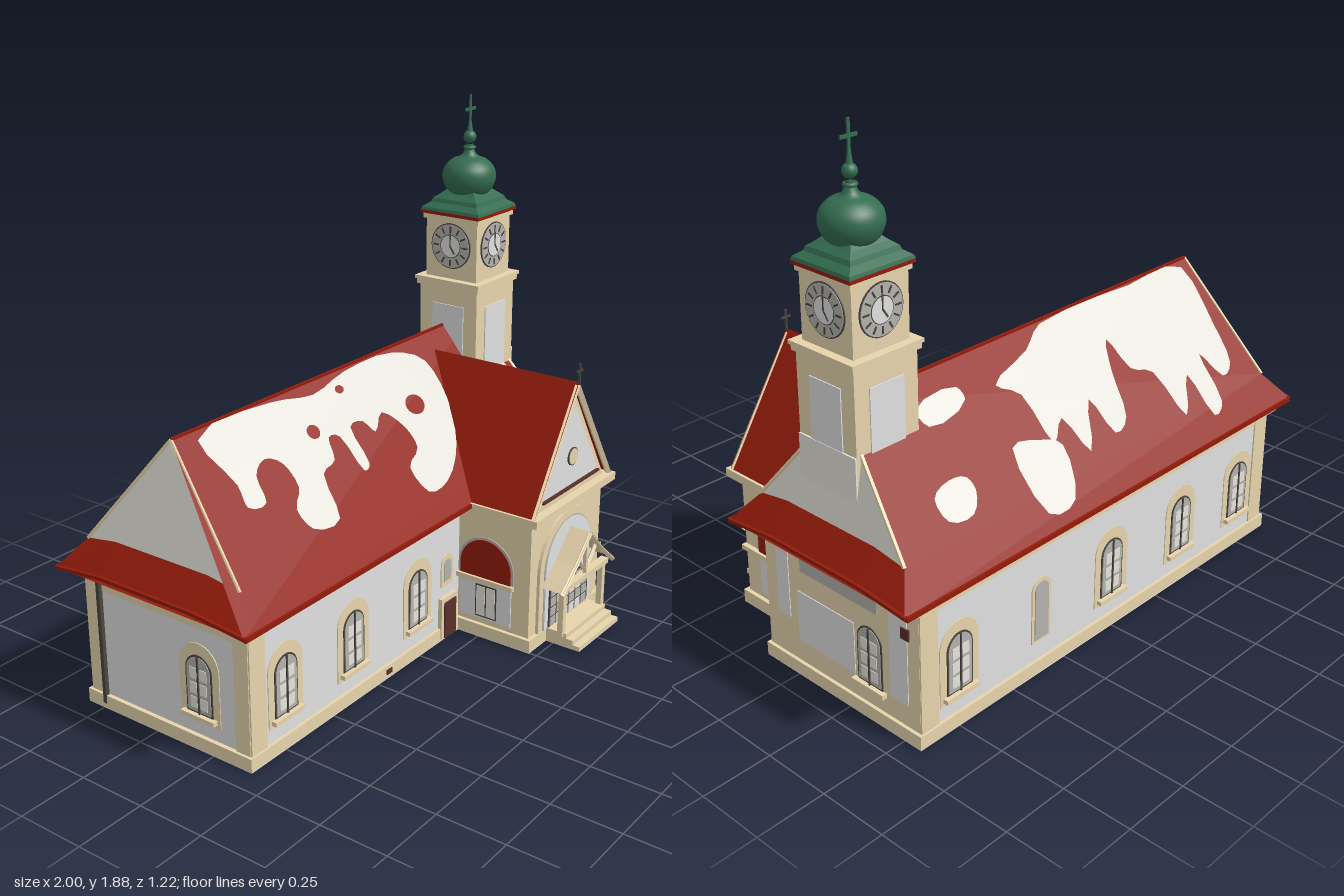
import * as THREE from 'three';

const mat = (name, color, double) => {
  const m = new THREE.MeshStandardMaterial({ color });
  m.name = name;
  if (double) m.side = THREE.DoubleSide;
  return m;
};
const M = {
  plaster: mat('greyWhitePlaster', 0xe0e0e0),
  cream: mat('creamStone', 0xf3dfb6, true),
  red: mat('redRoof', 0x931b0a, true),
  snow: mat('snowWhite', 0xe6e4dc, true),
  green: mat('copperGreen', 0x346d50),
  dark: mat('darkFrame', 0x4a463f),
  brown: mat('brownDoor', 0x5a302b),
  grey: mat('greyStone', 0xb4b2ae),
};

function add(parent, name, geo, material, x = 0, y = 0, z = 0) {
  const m = new THREE.Mesh(geo, material);
  m.name = name;
  m.position.set(x, y, z);
  parent.add(m);
  return m;
}
// Box given by its min and max corners
const box = (p, name, m, x0, x1, y0, y1, z0, z1) =>
  add(p, name, new THREE.BoxGeometry(x1 - x0, y1 - y0, z1 - z0), m, (x0 + x1) / 2, (y0 + y1) / 2, (z0 + z1) / 2);

// Flat convex polygon as a triangle fan
function poly(p, name, m, pts) {
  const pos = [];
  for (let i = 1; i < pts.length - 1; i++) pos.push(...pts[0], ...pts[i], ...pts[i + 1]);
  const g = new THREE.BufferGeometry();
  g.setAttribute('position', new THREE.Float32BufferAttribute(pos, 3));
  g.computeVertexNormals();
  return add(p, name, g, m);
}
// Thin square bar between two points
function bar(p, name, m, a, b, w) {
  const A = new THREE.Vector3(...a), d = new THREE.Vector3(...b).sub(A);
  const o = add(p, name, new THREE.BoxGeometry(w, w, d.length()), m);
  o.position.copy(A).addScaledVector(d, 0.5);
  o.quaternion.setFromUnitVectors(new THREE.Vector3(0, 0, 1), d.normalize());
}
const extrude = (s, depth) => new THREE.ExtrudeGeometry(s, { depth, bevelEnabled: false, curveSegments: 10 });

// Round-topped outline centred on u, from v0 to v1
function arch(u, w, v0, v1) {
  const s = new THREE.Shape(), r = w / 2;
  s.moveTo(u - r, v0);
  s.lineTo(u + r, v0);
  s.absarc(u, v1 - r, r, 0, Math.PI);
  s.closePath();
  return s;
}
// Wall frame: local x along the wall, local z outwards
function wall(p, name, x, z, turn) {
  const g = new THREE.Group();
  g.name = name;
  g.position.set(x, 0, z);
  g.rotation.y = turn;
  p.add(g);
  return g;
}
const plate = (w, name, m, u0, u1, v0, v1, d = 0.004) => box(w, name, m, u0, u1, v0, v1, 0, d);

function archWindow(w, u, v0 = 0.13) {
  add(w, 'windowSurround', extrude(arch(u, 0.17, v0 - 0.03, v0 + 0.255), 0.003), M.cream);
  add(w, 'windowFrame', extrude(arch(u, 0.112, v0, v0 + 0.213), 0.006), M.dark);
  add(w, 'windowReveal', extrude(arch(u, 0.1, v0 + 0.006, v0 + 0.207), 0.008), M.grey);
  for (const s of [-1, 1]) for (let r = 0; r < 3; r++)
    plate(w, 'pane', M.snow, u + s * 0.021 - 0.015, u + s * 0.021 + 0.015, v0 + 0.02 + r * 0.053, v0 + 0.06 + r * 0.053, 0.01);
  plate(w, 'mullion', M.dark, u - 0.003, u + 0.003, v0, v0 + 0.21, 0.012);
  box(w, 'sill', M.cream, u - 0.072, u + 0.072, v0 - 0.016, v0, 0, 0.022);
}

const RZ = -0.19, RY = 1.03, SLOPE = 1.22;

// Snow lying on the main roof: points are (x, height), side is +1 front, -1 back
function snowPatch(p, pts, side, holes = []) {
  const curve = new THREE.CatmullRomCurve3(pts.map(([x, y]) => new THREE.Vector3(x, y, 0)), true);
  const s = new THREE.Shape(curve.getPoints(pts.length * 3).slice(0, -1).map(v => new THREE.Vector2(v.x, Math.min(v.y, 1.025))));
  for (const [x, y, rx, ry] of holes) s.holes.push(new THREE.Path().absellipse(x, y, rx, ry, 0, Math.PI * 2, true));
  const g = new THREE.ShapeGeometry(s, 8), a = g.attributes.position;
  for (let i = 0; i < a.count; i++) {
    const y = a.getY(i);
    a.setXYZ(i, a.getX(i), y + 0.003, RZ + side * ((RY - y) / SLOPE + 0.004));
  }
  g.computeVertexNormals();
  add(p, 'roofSnow', g, M.snow);
}

function buildNave(p) {
  box(p, 'naveWalls', M.plaster, -0.905, 0.905, 0.01, 0.53, -0.56, 0.15);
  box(p, 'navePlinth', M.cream, -0.92, 0.92, 0.003, 0.05, -0.572, 0.162);
  box(p, 'naveUnderside', M.plaster, -0.92, 0.92, 0, 0.003, -0.572, 0.162);
  box(p, 'naveCornice', M.cream, -0.935, 0.935, 0.495, 0.529, -0.585, 0.178);
  const front = wall(p, 'frontWall', 0, 0.15, 0), back = wall(p, 'backWall', 0, -0.56, Math.PI);
  const right = wall(p, 'leftHandEnd', 0.905, 0, Math.PI / 2), left = wall(p, 'rightHandEnd', -0.905, 0, -Math.PI / 2);
  for (const w of [front, back]) {
    plate(w, 'friezeBand', M.cream, -0.905, 0.905, 0.465, 0.5);
    for (const s of [-1, 1]) plate(w, 'cornerStrip', M.cream, s * 0.87 - 0.037, s * 0.87 + 0.037, 0.05, 0.5, 0.005);
  }
  [-0.735, -0.38, -0.005].forEach(u => archWindow(front, u));
  [-0.74, 0, 0.39, 0.74].forEach(u => archWindow(back, u));
  add(back, 'nicheSurround', extrude(arch(-0.36, 0.09, 0.12, 0.36), 0.004), M.cream);
  add(back, 'niche', extrude(arch(-0.36, 0.065, 0.13, 0.345), 0.007), M.grey);
  // Small side door with a niche over it
  plate(front, 'sideDoorFrame', M.cream, 0.13, 0.23, 0.01, 0.17, 0.016);
  plate(front, 'sideDoor', M.brown, 0.145, 0.215, 0.01, 0.152, 0.022);
  add(front, 'smallNiche', extrude(arch(0.18, 0.075, 0.21, 0.335), 0.004), M.cream);
  add(front, 'smallNicheBack', extrude(arch(0.18, 0.045, 0.23, 0.315), 0.006), M.grey);
  plate(front, 'plinthStain', M.brown, -0.205, -0.175, 0.018, 0.036, 0.016);
  // Tower end: stone facing with rendered panels
  plate(right, 'stoneFacing', M.cream, -0.15, 0.56, 0.05, 0.5, 0.003);
  for (const [a, b, c, d] of [[0, 0.27, 0.13, 0.32], [-0.1, -0.04, 0.2, 0.47], [0.43, 0.51, 0.13, 0.47]])
    plate(right, 'renderPanel', M.plaster, a, b, c, d, 0.006);
  plate(right, 'greyPanel', M.grey, 0.02, 0.38, 0.4, 0.46, 0.006);
  plate(right, 'wallStain', M.brown, 0.485, 0.52, 0.37, 0.41, 0.009);
  archWindow(right, 0.34, 0.125);
  plate(left, 'friezeBand', M.cream, -0.56, 0.15, 0.44, 0.5);
  for (const u of [-0.53, 0.12]) plate(left, 'cornerStrip', M.cream, u - 0.03, u + 0.03, 0.05, 0.5, 0.005);
  archWindow(left, -0.06);
  box(p, 'downpipe', M.dark, -0.922, -0.907, 0.02, 0.5, -0.5, -0.485);
}

function buildMainRoof(p) {
  const E = 0.53, K = 0.63, ez = 0.41, kz = 0.328, T = 0.85;
  for (const s of [-1, 1]) {
    const zE = RZ + s * ez, zK = RZ + s * kz;
    const pts = [[-1, E, zE], [1, E, zE], [0.92, K, zK], [T, RY, RZ], [-T, RY, RZ], [-0.92, K, zK]];
    poly(p, 'roofSlope', M.red, s > 0 ? pts : pts.reverse());
    box(p, 'eaveBoard', M.red, -0.995, 0.995, E - 0.012, E + 0.004, zE - 0.006, zE + 0.006);
    // Steep gable and flared skirt at each end, s now picks the end
    const x = s * 0.92, X = s * 0.995;
    const gable = [[x, K, RZ + kz], [x, K, RZ - kz], [s * T, RY, RZ]];
    poly(p, 'endGable', M.snow, s > 0 ? gable : gable.reverse());
    const out = [[X, E, RZ + ez], [X, 0.55, RZ + 0.2], [X, 0.55, RZ - 0.2], [X, E, RZ - ez]];
    const inn = [[x, K, RZ + kz], [x, K + 0.02, RZ + 0.2], [x, K + 0.02, RZ - 0.2], [x, K, RZ - kz]];
    for (let i = 0; i < 3; i++) {
      const q = [out[i], out[i + 1], inn[i + 1], inn[i]];
      poly(p, 'endSkirt', M.red, s > 0 ? q : q.reverse());
      bar(p, 'skirtEdge', M.red, out[i], out[i + 1], 0.012);
    }
    for (const t of [-1, 1]) bar(p, 'gableRake', M.cream, [x, K, RZ + t * kz], [s * T, RY - 0.004, RZ], 0.01);
  }
  poly(p, 'soffit', M.red, [[-0.99, E - 0.005, RZ - ez], [0.99, E - 0.005, RZ - ez], [0.99, E - 0.005, RZ + ez], [-0.99, E - 0.005, RZ + ez]]);
  bar(p, 'ridge', M.red, [-T, RY - 0.003, RZ], [T, RY - 0.003, RZ], 0.01);

  snowPatch(p, [[-.76, 1], [-.71, .86], [-.72, .8], [-.64, .79], [-.62, .86], [-.55, .89], [-.49, .86], [-.48, .79],
    [-.54, .74], [-.52, .68], [-.39, .67], [-.35, .79], [-.27, .81], [-.24, .87], [-.19, .86], [-.17, .75], [-.13, .76],
    [-.12, .87], [-.05, .87], [-.02, .83], [.06, .87], [.13, .8], [.13, .74], [.04, .7], [.06, .62], [.18, .62],
    [.33, .7], [.42, .83], [.42, .95], [.28, 1.01], [0, 1.015], [-.2, .99], [-.39, 1.015]], 1,
  [[-0.07, 0.975, 0.022, 0.012], [0.24, 0.85, 0.05, 0.03], [-0.29, 0.9, 0.03, 0.02]]);
  snowPatch(p, [[.66, .87], [.82, .87], [.84, .82], [.79, .78], [.84, .73], [.89, .68], [.89, .61], [.8, .585], [.79, .66], [.72, .7], [.66, .78]], 1);
  const onBack = pts => snowPatch(p, pts.map(([x, z]) => [x, RY - (RZ - z) * SLOPE]), -1);
  onBack([[-.8, -.21], [-.81, -.36], [-.79, -.46], [-.72, -.48], [-.66, -.41], [-.65, -.53], [-.58, -.55], [-.55, -.44],
    [-.45, -.52], [-.4, -.4], [-.31, -.37], [-.27, -.29], [-.22, -.36], [-.18, -.46], [-.1, -.48], [-.06, -.39],
    [.04, -.49], [.09, -.4], [.17, -.44], [.2, -.32], [.28, -.28], [.09, -.24], [-.02, -.2], [-.5, -.2]]);
  onBack([[.14, -.45], [.2, -.56], [.33, -.56], [.34, -.41], [.22, -.42]]);
  onBack([[.55, -.45], [.6, -.49], [.7, -.48], [.71, -.43], [.63, -.41], [.56, -.42]]);
  onBack([[.42, -.28], [.6, -.3], [.62, -.26], [.43, -.25]]);
}

function buildTower(p) {
  const g = new THREE.Group();
  g.name = 'tower';
  g.position.set(0.765, 0, -0.168);
  p.add(g);
  const block = (name, m, h, y0, y1) => box(g, name, m, -h, h, y0, y1, -h, h);
  block('lowerShaft', M.cream, 0.128, 0.72, 1.19);
  block('lowerCornice', M.cream, 0.138, 1.175, 1.195);
  block('lowerCorniceTop', M.cream, 0.144, 1.195, 1.208);
  block('upperShaft', M.cream, 0.113, 1.2, 1.45);
  block('upperCornice', M.cream, 0.122, 1.43, 1.45);
  block('redEave', M.red, 0.13, 1.45, 1.462);
  box(g, 'gableSnowOnShaft', M.snow, 0.128, 0.134, 0.72, 0.9, -0.128, 0.128);
  for (let i = 0; i < 4; i++) {
    const a = i * Math.PI / 2;
    const lo = wall(g, 'lowerFace', Math.sin(a) * 0.128, Math.cos(a) * 0.128, a);
    plate(lo, 'renderPanel', M.plaster, -0.07, 0.07, 0.75, 1.11);
    const up = wall(g, 'clockFace', Math.sin(a) * 0.113, Math.cos(a) * 0.113, a);
    const disc = (name, m, r, d) => add(up, name, new THREE.CylinderGeometry(r, r, d, 28).rotateX(Math.PI / 2), m, 0, 1.335, d / 2);
    disc('clockRim', M.dark, 0.087, 0.004);
    disc('clockDial', M.grey, 0.083, 0.006);
    disc('clockInnerRim', M.dark, 0.045, 0.007);
    disc('clockCentre', M.plaster, 0.042, 0.008);
    for (let k = 0; k < 12; k++) {
      const t = k * Math.PI / 6;
      add(up, 'hourMark', new THREE.BoxGeometry(0.006, 0.024, 0.003), M.dark, Math.sin(t) * 0.064, 1.335 + Math.cos(t) * 0.064, 0.007).rotation.z = -t;
    }
    add(up, 'hourHand', new THREE.BoxGeometry(0.006, 0.035, 0.002), M.dark, 0.01, 1.322, 0.009).rotation.z = 0.6;
    add(up, 'minuteHand', new THREE.BoxGeometry(0.005, 0.05, 0.002), M.dark, 0, 1.36, 0.009);
  }
  // Square flared copper base, onion dome and finial
  const lathe = (pts, n) => new THREE.LatheGeometry(pts.map(([r, y]) => new THREE.Vector2(r, y)), n);
  const q = Math.SQRT2;
  const base = lathe([[0.001, 1.46], [0.13 * q, 1.46], [0.126 * q, 1.473], [0.102 * q, 1.49], [0.096 * q, 1.505], [0.076 * q, 1.52], [0.06 * q, 1.535], [0.001, 1.535]], 4)
    .rotateY(Math.PI / 4).toNonIndexed();
  base.computeVertexNormals();
  add(g, 'flaredBase', base, M.green);
  const dome = new THREE.SplineCurve([[0.062, 1.515], [0.084, 1.535], [0.1, 1.575], [0.094, 1.615], [0.066, 1.645], [0.032, 1.66], [0.017, 1.685], [0.014, 1.705]]
    .map(v => new THREE.Vector2(...v))).getPoints(28);
  add(g, 'onionDome', new THREE.LatheGeometry(dome, 32), M.green);
  add(g, 'finialRing', new THREE.TorusGeometry(0.017, 0.007, 8, 20).rotateX(Math.PI / 2), M.green, 0, 1.69, 0);
  add(g, 'finialBall', new THREE.SphereGeometry(0.024, 20, 14), M.green, 0, 1.73, 0);
  add(g, 'finialSpike', new THREE.CylinderGeometry(0.004, 0.012, 0.05, 12), M.green, 0, 1.772, 0);
  box(g, 'crossPost', M.green, -0.005, 0.005, 1.76, 1.885, -0.003, 0.003);
  box(g, 'crossArm', M.green, -0.033, 0.033, 1.827, 1.838, -0.003, 0.003);
}

function buildPorch(p) {
  const g = new THREE.Group();
  g.name = 'porch';
  g.position.x = 0.51;
  p.add(g);
  box(g, 'porchWalls', M.cream, -0.25, 0.25, 0.01, 0.53, 0.1, 0.455);
  box(g, 'porchPlinth', M.cream, -0.265, 0.265, 0.003, 0.05, 0.1, 0.47);
  box(g, 'porchUnderside', M.plaster, -0.265, 0.265, 0, 0.003, 0.162, 0.47);
  box(g, 'porchCornice', M.cream, -0.285, 0.285, 0.505, 0.535, 0.1, 0.495);
  // Gable wall, rakes and the roof running back into the main slope
  const tri = k => new THREE.Shape([[-0.25 * k, 0], [0.25 * k, 0], [0, 0.41 * k]].map(v => new THREE.Vector2(...v)));
  add(g, 'porchGable', extrude(tri(1), 0.03), M.cream, 0, 0.53, 0.43);
  add(g, 'gablePanel', extrude(tri(0.78), 0.005), M.plaster, 0, 0.575, 0.46);
  box(g, 'gableSill', M.brown, -0.2, 0.2, 0.563, 0.571, 0.46, 0.472);
  add(g, 'medallionRim', new THREE.CylinderGeometry(0.034, 0.034, 0.006, 20).rotateX(Math.PI / 2), M.dark, 0, 0.685, 0.467);
  add(g, 'medallion', new THREE.CylinderGeometry(0.03, 0.03, 0.008, 20).rotateX(Math.PI / 2), M.cream, 0, 0.685, 0.468);
  for (const s of [-1, 1]) {
    poly(g, 'porchRoof', M.red, [[0, 0.97, 0.48], [s * 0.278, 0.53, 0.48], [s * 0.278, 0.53, 0.21], [0, 0.97, -0.145]]);
    bar(g, 'porchRake', M.cream, [s * 0.27, 0.53, 0.473], [0, 0.955, 0.473], 0.018);
    // Side wall: red lunette, ledge and window
    const w = wall(g, 'porchSide', s * 0.25, 0.27, s * Math.PI / 2);
    add(w, 'lunetteTrim', extrude(arch(0, 0.235, 0.235, 0.4), 0.004), M.grey);
    add(w, 'lunette', extrude(arch(0, 0.215, 0.24, 0.39), 0.008), M.red);
    plate(w, 'sidePanel', M.plaster, -0.11, 0.11, 0.07, 0.225, 0.005);
    plate(w, 'sideWindowFrame', M.dark, -0.04, 0.05, 0.08, 0.21, 0.007);
    for (const u of [-0.035, 0.008]) plate(w, 'sidePane', M.snow, u, u + 0.037, 0.086, 0.204, 0.009);
    box(w, 'sideLedge', M.cream, -0.19, 0.12, 0.222, 0.24, 0, 0.018);
  }
  bar(g, 'gableCross', M.dark, [0, 0.96, 0.48], [0, 1.04, 0.48], 0.007);
  box(g, 'gableCrossArm', M.dark, -0.02, 0.02, 1.008, 1.015, 0.477, 0.483);
  // Arched entrance with glazed doors
  const f = wall(g, 'entrance', 0, 0.455, 0);
  add(f, 'archTrim', extrude(arch(0, 0.4, 0.05, 0.48), 0.012), M.cream);
  add(f, 'archEdge', extrude(arch(0, 0.34, 0.05, 0.45), 0.014), M.grey);
  add(f, 'archField', extrude(arch(0, 0.33, 0.05, 0.445), 0.017), M.plaster);
  plate(f, 'doorFrame', M.dark, -0.14, 0.14, 0.05, 0.215, 0.021);
  for (let c = 0; c < 6; c++) for (let r = 0; r < 4; r++)
    plate(f, 'doorPane', c === 0 || c === 5 || r % 2 ? M.grey : M.snow, -0.133 + c * 0.045, -0.097 + c * 0.045, 0.058 + r * 0.039, 0.09 + r * 0.039, 0.024);
  // Gabled canopy on posts
  for (const s of [-1, 1]) {
    const line = [[0, 0.41], [s * 0.1, 0.31], [s * 0.19, 0.235]];
    for (let i = 0; i < 2; i++) {
      const [a, b] = [line[i], line[i + 1]];
      poly(g, 'canopyRoof', M.cream, [[...a, 0.45], [...a, 0.56], [...b, 0.56], [...b, 0.45]]);
      bar(g, 'canopyEdge', M.cream, [a[0], a[1] - 0.008, 0.552], [b[0], b[1] - 0.008, 0.552], 0.014);
    }
    bar(g, 'canopyStrut', M.cream, [0, 0.25, 0.54], [s * 0.07, 0.33, 0.54], 0.012);
    box(g, 'canopyPost', M.cream, s * 0.143 - 0.011, s * 0.143 + 0.011, 0.04, 0.24, 0.52, 0.542);
  }
  box(g, 'canopyBeam', M.cream, -0.16, 0.16, 0.222, 0.242, 0.52, 0.55);
  bar(g, 'canopyKingPost', M.cream, [0, 0.24, 0.54], [0, 0.4, 0.54], 0.014);
  // Steps
  for (let i = 0; i < 3; i++) box(g, 'step', M.cream, -0.145, 0.145, 0.003, 0.018 * (i + 1), 0.45, 0.61 - i * 0.028);
  box(g, 'stepUnderside', M.plaster, -0.145, 0.145, 0, 0.003, 0.47, 0.61);
}

export function createModel() {
  const model = new THREE.Group();
  model.name = 'church';
  buildNave(model);
  buildMainRoof(model);
  buildTower(model);
  buildPorch(model);
  return model;
}
